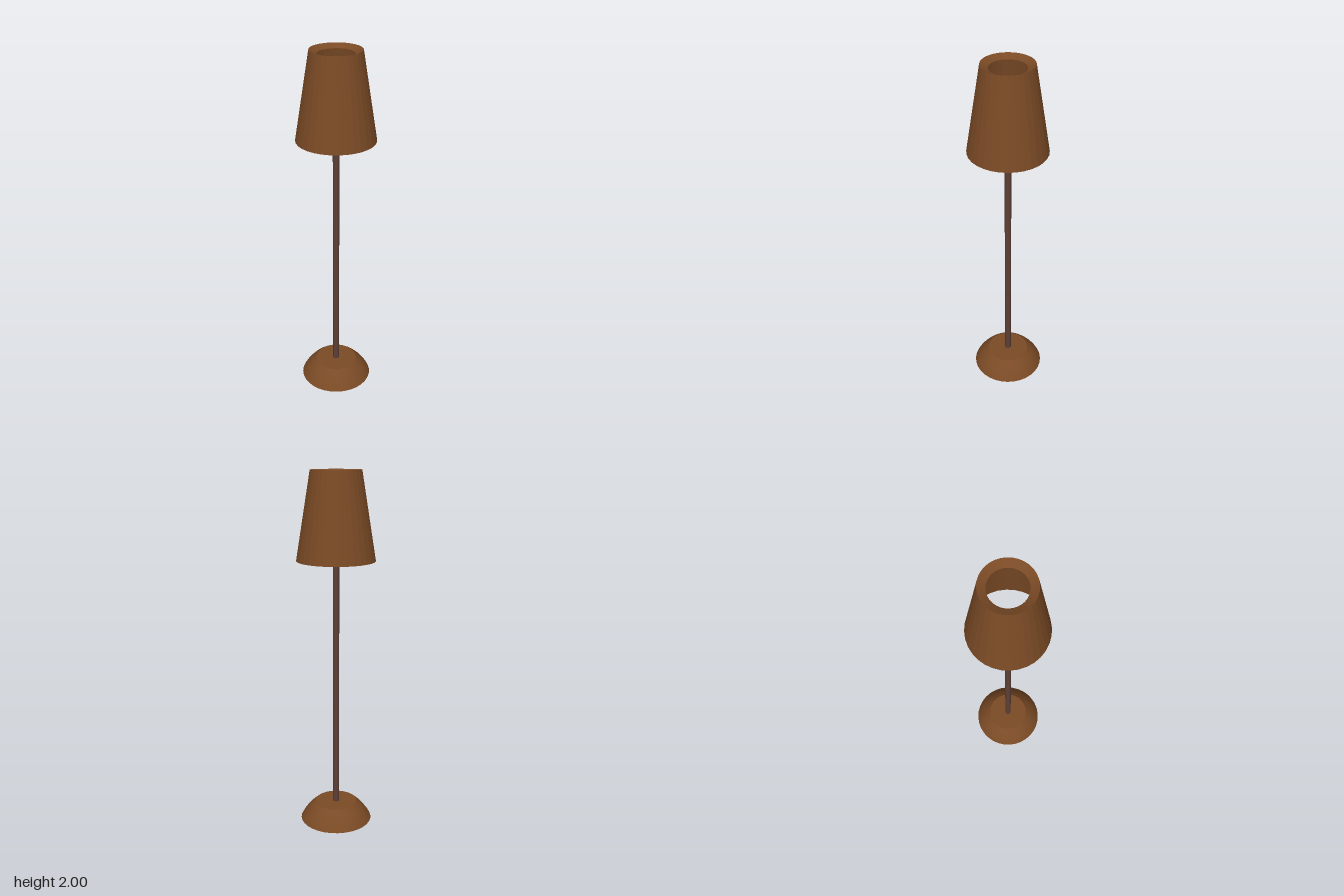
import * as THREE from 'three';
import { toCreasedNormals } from 'three/addons/utils/BufferGeometryUtils.js';

const wood = new THREE.MeshStandardMaterial({ color: 0x7a4a25, side: THREE.DoubleSide });
wood.name = 'warm brown';
const metal = new THREE.MeshStandardMaterial({ color: 0x5d4037, side: THREE.DoubleSide });
metal.name = 'dark brown';

// Turns a profile of [radius, height] points around the y axis
function turned(name, profile, sides, crease, material) {
  const points = profile.map(([r, y]) => new THREE.Vector2(r, y));
  const geometry = toCreasedNormals(new THREE.LatheGeometry(points, sides), crease);
  const mesh = new THREE.Mesh(geometry, material);
  mesh.name = name;
  return mesh;
}

export function createModel() {
  const lamp = new THREE.Group();
  lamp.name = 'floorLamp';

  // Hollow domed foot with a flat top
  lamp.add(turned('base', [
    [0.205, 0], [0.19, 0.027], [0.17, 0.054], [0.147, 0.08], [0.12, 0.103], [0, 0.103],
  ], 32, 0.5, wood));

  // Slim upright
  const pole = new THREE.Mesh(new THREE.CylinderGeometry(0.018, 0.018, 1.53, 12), metal);
  pole.name = 'pole';
  pole.position.y = 0.1 + 1.53 / 2;
  lamp.add(pole);

  // Bulb on a flared neck
  lamp.add(turned('bulb', [
    [0.018, 1.6], [0.025, 1.615], [0.038, 1.64], [0.043, 1.66],
    [0.038, 1.682], [0.024, 1.698], [0, 1.705],
  ], 10, 0.8, wood));

  // Open tapered shade with a funnel-shaped lip inside the top rim
  lamp.add(turned('shade', [[0.215, 1.525], [0.137, 2]], 32, 0.1, wood));
  lamp.add(turned('shadeLip', [[0.137, 2], [0.097, 1.98]], 32, 0.1, wood));

  return lamp;
}
